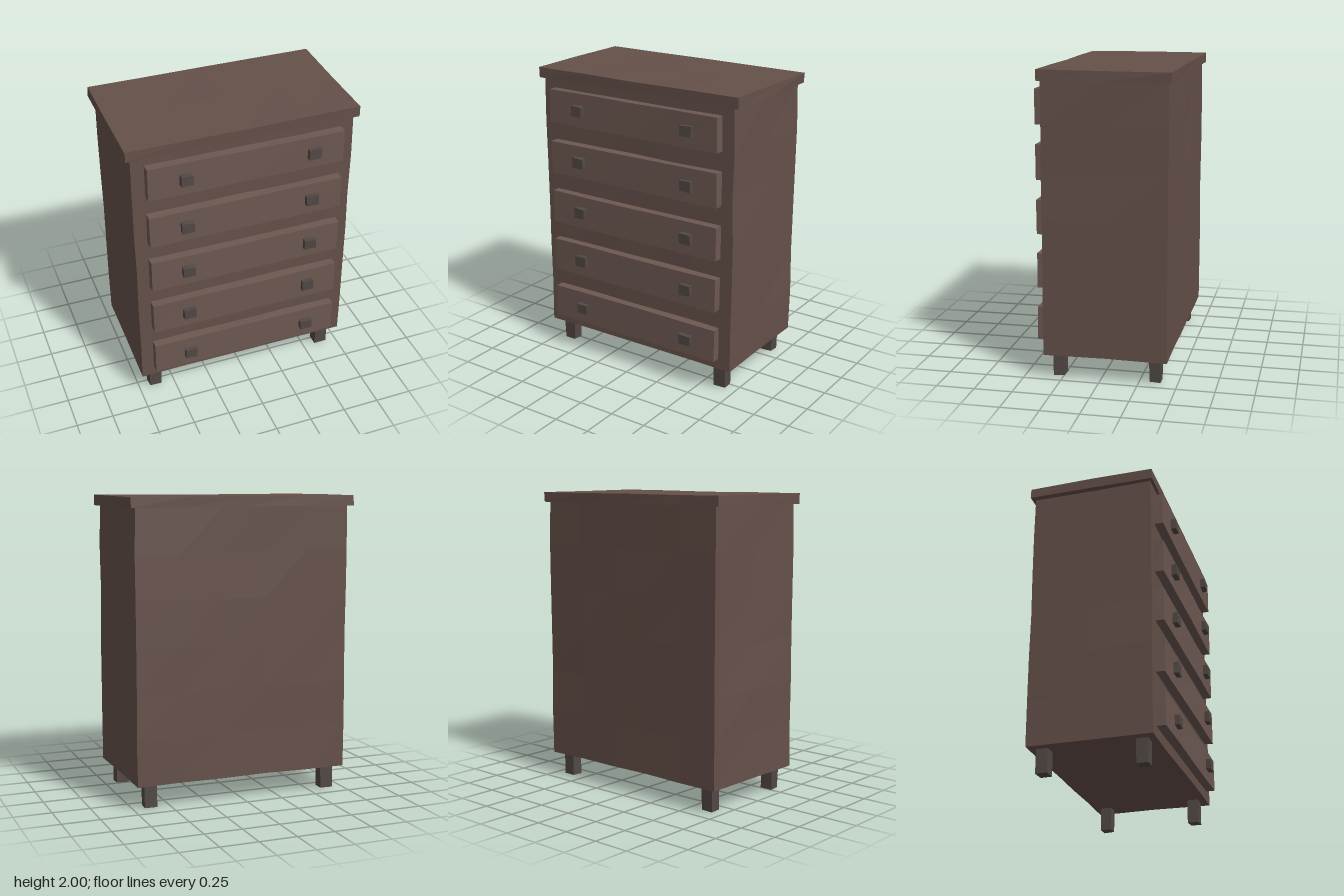
import * as THREE from 'three';

const wood = new THREE.MeshStandardMaterial({ color: 0x655049, flatShading: true });
const drawerWood = new THREE.MeshStandardMaterial({ color: 0x6d5851, flatShading: true });
const darkWood = new THREE.MeshStandardMaterial({ color: 0x514844, flatShading: true });

// Repeatable noise in -1..1 from a position, so coincident corners move together
function noise(x, y, z, seed) {
  const s = Math.sin(Math.round(x * 1000) * 12.9898 + Math.round(y * 1000) * 78.233
    + Math.round(z * 1000) * 37.719 + seed * 11.137) * 43758.5453;
  return (s - Math.floor(s)) * 2 - 1;
}

// Slightly uneven, hand-cut board spanning two opposite corners
function board(name, material, min, max, segments, wobble, seed) {
  const size = max.map((v, i) => v - min[i]);
  const geometry = new THREE.BoxGeometry(...size, ...segments);
  geometry.translate(...max.map((v, i) => (v + min[i]) / 2));
  const p = geometry.attributes.position;
  for (let i = 0; i < p.count; i++) {
    const [x, y, z] = [p.getX(i), p.getY(i), p.getZ(i)];
    p.setXYZ(i,
      x + wobble * noise(x, y, z, seed),
      THREE.MathUtils.clamp(y + wobble * noise(x, y, z, seed + 1), 0, 2),
      z + wobble * 0.6 * noise(x, y, z, seed + 2));
  }
  const flat = geometry.toNonIndexed();
  flat.computeVertexNormals();
  const mesh = new THREE.Mesh(flat, material);
  mesh.name = name;
  return mesh;
}

export function createModel() {
  const model = new THREE.Group();
  model.name = 'chestOfDrawers';

  // Case and overhanging top
  model.add(board('cabinet', wood, [-0.737, 0.163, -0.44], [0.735, 1.94, 0.365], [5, 6, 2], 0.005, 1));
  model.add(board('topBoard', wood, [-0.772, 1.93, -0.461], [0.767, 1.998, 0.382], [4, 1, 2], 0.003, 5));

  // Five drawer fronts, each with two square knobs
  for (let i = 0; i < 5; i++) {
    const y = 0.346 + i * 0.353;
    const drawer = new THREE.Group();
    drawer.name = `drawer${i + 1}`;
    drawer.add(board('drawerFront', drawerWood,
      [-0.655, y - 0.112, 0.35], [0.65, y + 0.112, 0.424], [4, 1, 1], 0.003, 10 + i));
    for (const x of [-0.41, 0.438]) {
      drawer.add(board(x < 0 ? 'rightKnob' : 'leftKnob', darkWood,
        [x - 0.041, y - 0.035, 0.41], [x + 0.041, y + 0.035, 0.458], [1, 1, 1], 0.004, 20 + i));
    }
    model.add(drawer);
  }

  // Four short square legs
  for (const x of [-0.635, 0.63]) {
    for (const z of [-0.353, 0.281]) {
      model.add(board(`${z > 0 ? 'front' : 'back'}${x > 0 ? 'Left' : 'Right'}Leg`, darkWood,
        [x - 0.043, 0.004, z - 0.037], [x + 0.043, 0.18, z + 0.037], [1, 1, 1], 0.004, 30));
    }
  }
  return model;
}
